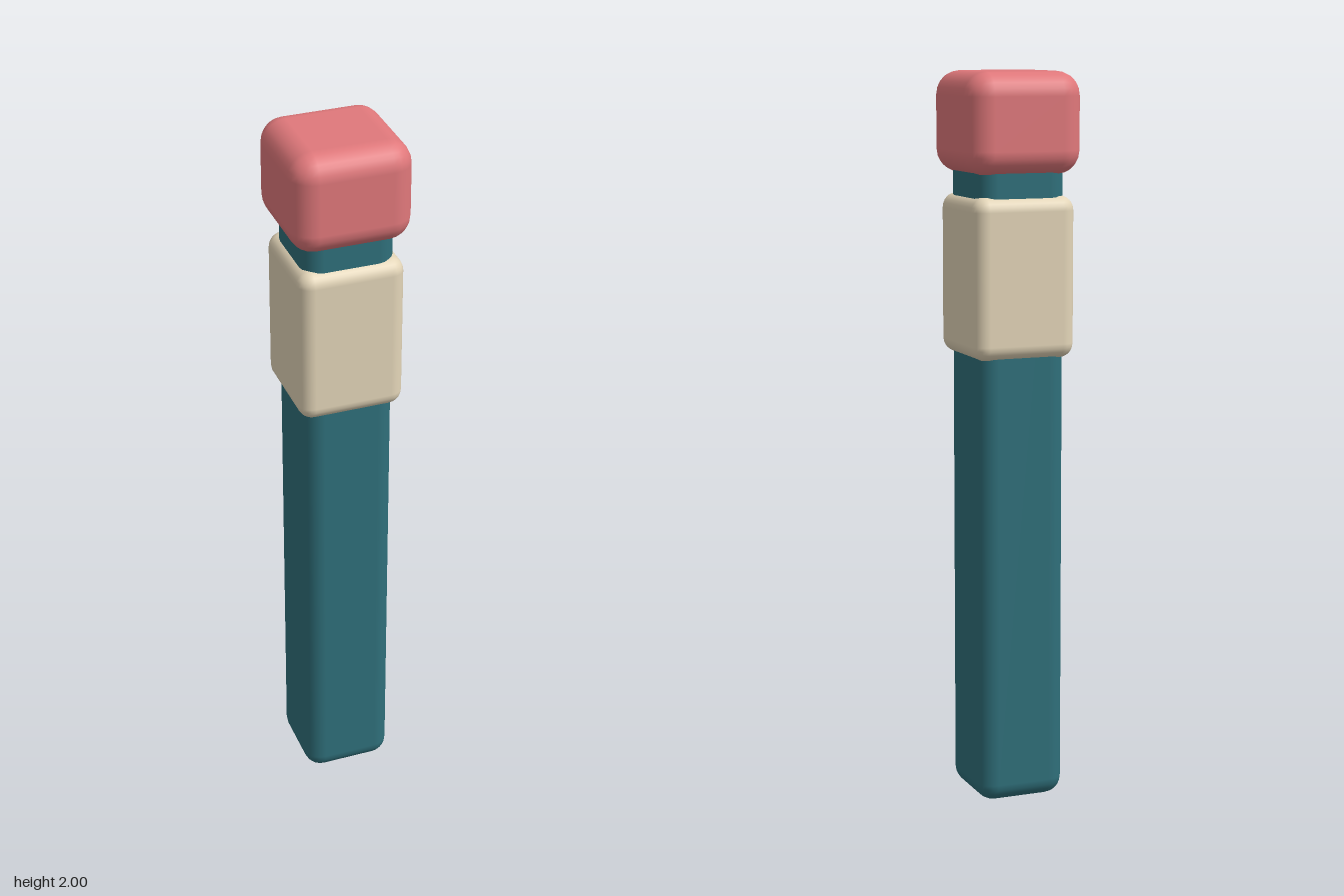
import * as THREE from 'three';
import { RoundedBoxGeometry } from 'three/addons/geometries/RoundedBoxGeometry.js';

function material(name, color) {
  const m = new THREE.MeshStandardMaterial({ color });
  m.name = name;
  return m;
}

export function createModel() {
  const group = new THREE.Group();
  group.name = 'handle';

  const teal = material('teal', 0x2f6f7a);
  const cream = material('cream', 0xe3d5b8);
  const pink = material('pink', 0xe0787b);

  // Square rounded block between two heights
  function block(name, width, bottom, top, radius, mat) {
    const geometry = new RoundedBoxGeometry(width, top - bottom, width, 3, radius);
    const mesh = new THREE.Mesh(geometry, mat);
    mesh.name = name;
    mesh.position.y = (bottom + top) / 2;
    group.add(mesh);
  }

  // Long shaft, its top end seated inside the cap
  block('shaft', 0.25, 0, 1.8, 0.05, teal);
  // Band wrapped around the upper shaft
  block('band', 0.29, 1.235, 1.672, 0.04, cream);
  // Wide end cap
  block('cap', 0.326, 1.727, 2, 0.065, pink);

  return group;
}
